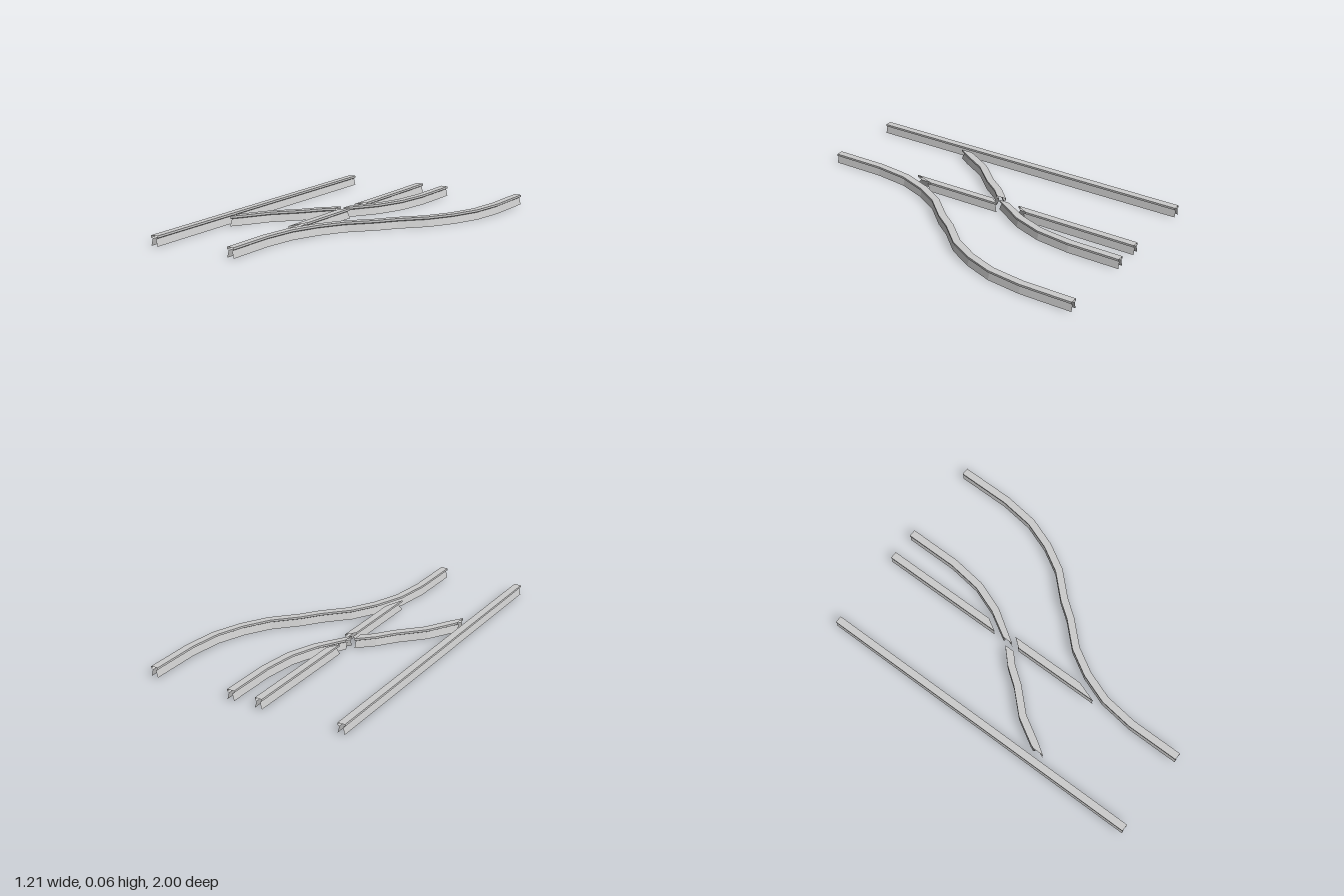
import * as THREE from 'three';

const HALF = 0.021;
// Rail cross-section: [side as fraction of half width, height]; open underneath
const RIGHT_SIDE = [[1, 0.058], [1, 0.046], [0.5, 0.04], [1, 0]];
const PROFILE = [...RIGHT_SIDE.map(([u, y]) => [-u, y]).reverse(), ...RIGHT_SIDE];

const material = new THREE.MeshStandardMaterial({
  color: 0xcccccc, flatShading: true, side: THREE.DoubleSide,
});

// Half-width vector at a station: mitred between the neighbouring segments
function mitre(path, i) {
  const dir = (a, b) => new THREE.Vector2(b[0] - a[0], b[1] - a[1]).normalize();
  const before = i > 0 ? dir(path[i - 1], path[i]) : dir(path[0], path[1]);
  const after = i < path.length - 1 ? dir(path[i], path[i + 1]) : before;
  const mid = before.clone().add(after).normalize();
  const w = HALF / mid.dot(after);
  return [mid.y * w, -mid.x * w];
}

// Sweep the profile along stations [x, z] or [x, z, sideX, sideZ] (skewed cut)
function rail(name, path) {
  const n = PROFILE.length;
  const positions = [], index = [];
  path.forEach((p, i) => {
    const [sx, sz] = p.length === 4 ? [p[2], p[3]] : mitre(path, i);
    for (const [u, y] of PROFILE) positions.push(p[0] + u * sx, y, p[1] + u * sz);
    if (i === 0) return;
    for (let k = 0; k < n - 1; k++) {
      const a = (i - 1) * n + k, b = i * n + k;
      index.push(a, b, b + 1, a, b + 1, a + 1);
    }
  });
  const indexed = new THREE.BufferGeometry();
  indexed.setAttribute('position', new THREE.Float32BufferAttribute(positions, 3));
  indexed.setIndex(index);
  const geometry = indexed.toNonIndexed();
  geometry.computeVertexNormals();
  const mesh = new THREE.Mesh(geometry, material);
  mesh.name = name;
  return mesh;
}

export function createModel() {
  const group = new THREE.Group();
  group.name = 'railSwitch';

  // Half of the S-bend about its centre; the other half is its point mirror
  const half = [[0.335, -1], [0.334, -0.69], [0.308, -0.49], [0.247, -0.325], [0.162, -0.18], [0.037, -0.05]];
  const bend = [...half, ...half.map(([x, z]) => [-x, -z]).reverse()];
  const shift = (pts, dx) => pts.map(([x, z]) => [x + dx, z]);

  // Unbroken outer rails
  group.add(rail('straightOuterRail', [[-0.583, -1], [-0.583, 1]]));
  group.add(rail('curvedOuterRail', shift(bend, 0.248)));

  // Inner curved rail, cut where it crosses and where it nears the outer rail
  const inner = shift(bend, -0.249);
  group.add(rail('curvedInnerRailBack', [...inner.slice(0, 4), [-0.108, -0.155, 0, 0.031]]));
  group.add(rail('curvedInnerRailFront', [
    [-0.14, -0.118, 0, 0.03], ...inner.slice(5, 9), [-0.525, 0.372, 0, 0.034],
  ]));

  // Inner straight rail, cut by the curved rails' clearance
  group.add(rail('straightInnerRailBack', [[-0.087, -1], [-0.087, -0.285, HALF, -0.035]]));
  group.add(rail('straightInnerRailFront', [
    [-0.087, -0.105, HALF, -0.026], [-0.087, 0.38, HALF, -0.06],
  ]));
  return group;
}
